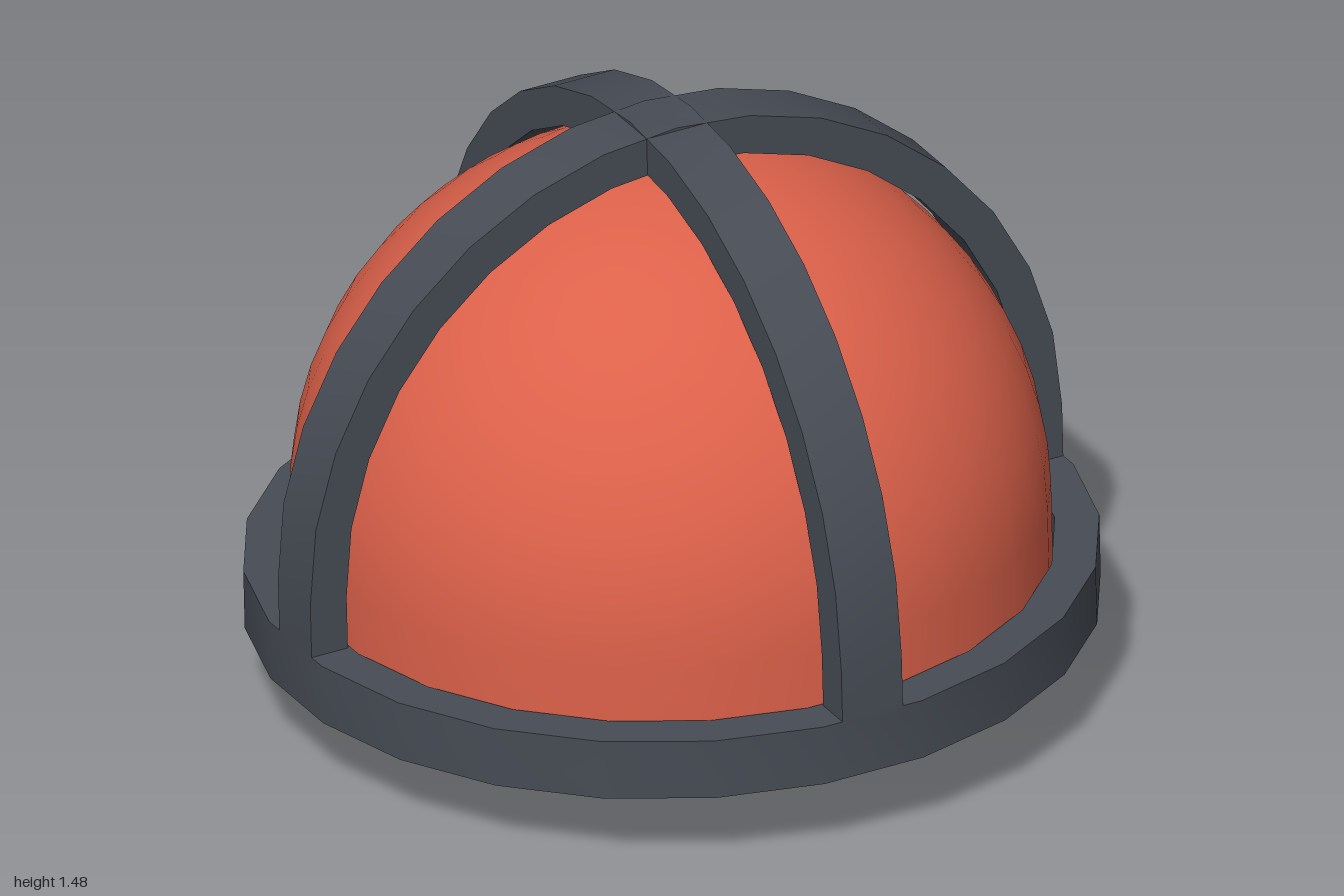
import * as THREE from 'three';
import { toCreasedNormals } from 'three/addons/utils/BufferGeometryUtils.js';

const CREASE = 0.5;
const CENTER_Y = 0.48; // height of the dome's centre
const RING_BOTTOM = 0.195, RING_TOP = 0.345;
const OUTER = 0.996, INNER = 0.9, STRAP_WIDTH = 0.16;

// Quarter or half arc in a plane, centred on the dome's centre
function arc(radius, from, to, steps) {
  return Array.from({ length: steps + 1 }, (_, i) => {
    const a = from + (to - from) * i / steps;
    return new THREE.Vector2(radius * Math.cos(a), CENTER_Y + radius * Math.sin(a));
  });
}

export function createModel() {
  const steel = new THREE.MeshStandardMaterial({ color: 0x474c55 });
  const red = new THREE.MeshStandardMaterial({ color: 0xdc614a });

  const model = new THREE.Group();
  model.name = 'helmet';
  const add = (name, geometry, material) => {
    const mesh = new THREE.Mesh(toCreasedNormals(geometry, CREASE), material);
    mesh.name = name;
    model.add(mesh);
    return mesh;
  };
  const v = (x, y) => new THREE.Vector2(x, y);

  // Hollow dome with a thick rim
  const rim = 0.215;
  const domeProfile = [
    v(0.89, rim),
    ...arc(0.89, 0, Math.PI / 2, 14),
    ...arc(0.85, Math.PI / 2, 0, 14),
    v(0.85, rim), v(0.89, rim),
  ];
  add('dome', new THREE.LatheGeometry(domeProfile, 40), red);

  // Brow ring, with a flat facet under each strap
  const sides = 24;
  const corner = 1 / Math.cos(Math.PI / sides);
  const ringProfile = [
    v(OUTER * corner, RING_BOTTOM), v(OUTER * corner, RING_TOP),
    v(INNER, RING_TOP), v(INNER, RING_BOTTOM), v(OUTER * corner, RING_BOTTOM),
  ];
  add('browRing', new THREE.LatheGeometry(ringProfile, sides, Math.PI / sides), steel);

  // Two crossing straps over the dome
  const foot = RING_TOP - 0.02;
  const strapShape = new THREE.Shape([
    v(OUTER, foot), ...arc(OUTER, 0, Math.PI, 16), v(-OUTER, foot),
    v(-INNER, foot), ...arc(INNER, Math.PI, 0, 16), v(INNER, foot),
  ]);
  ['sideStrap', 'lengthStrap'].forEach((name, i) => {
    const geometry = new THREE.ExtrudeGeometry(strapShape, { depth: STRAP_WIDTH, bevelEnabled: false });
    geometry.translate(0, 0, -STRAP_WIDTH / 2);
    add(name, geometry, steel).rotation.y = i * Math.PI / 2;
  });

  // Short guard hanging below the ring
  const guard = new THREE.BoxGeometry(STRAP_WIDTH, RING_BOTTOM + 0.02, OUTER - INNER);
  guard.translate(0, (RING_BOTTOM + 0.02) / 2, -(OUTER + INNER) / 2);
  add('noseGuard', guard, steel);

  // The whole piece leans slightly to one side
  model.rotation.z = 0.025;
  model.position.set(0.005, 0.002, 0);
  return model;
}
